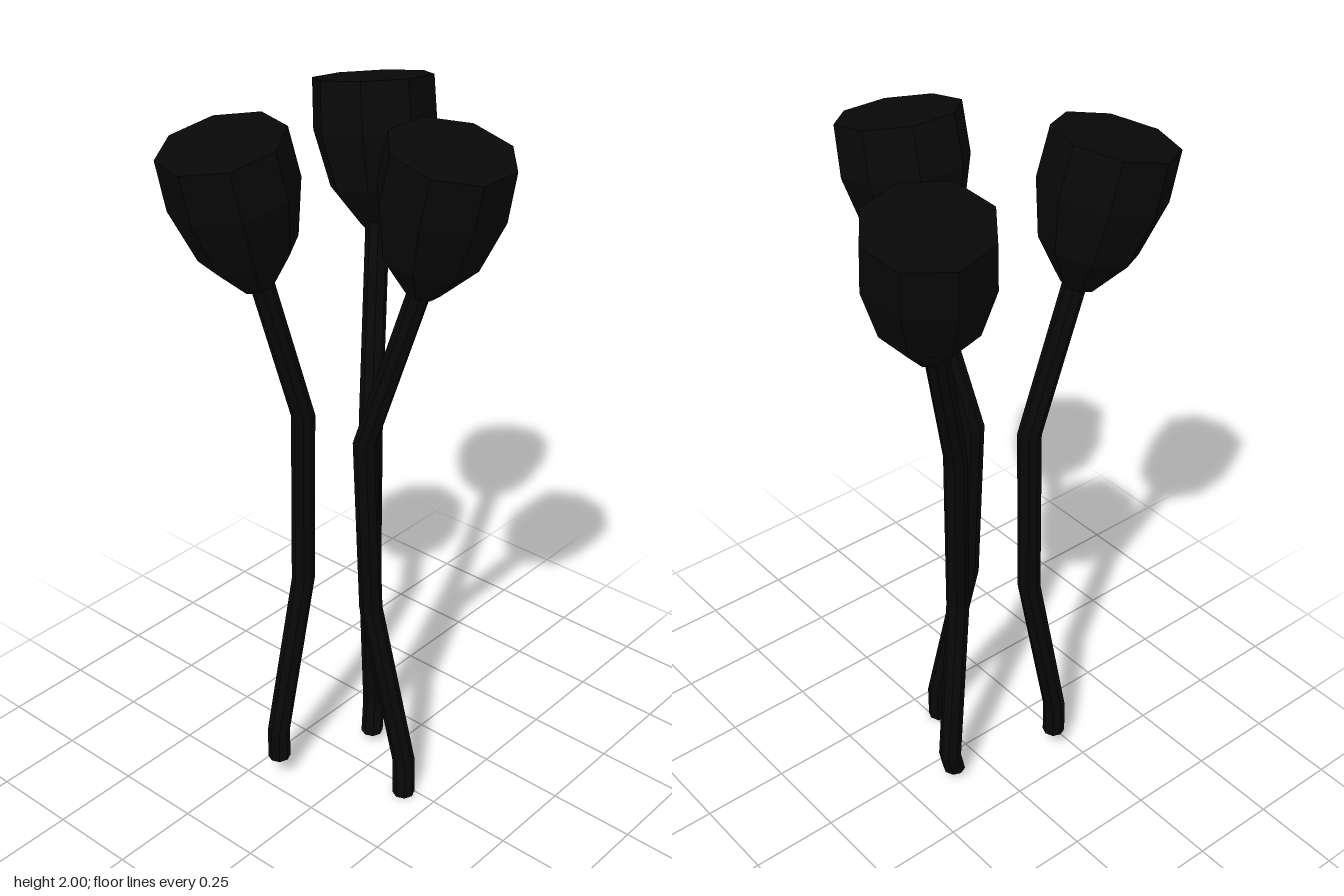
import * as THREE from 'three';

const material = new THREE.MeshStandardMaterial({ color: 0x080808, flatShading: true });
const SIDES = 8;
const TILT = 0.22;

// Stem: an eight-sided cylinder whose rings are moved onto the path points
function makeStem(path) {
  const rows = path.length - 1;
  const geometry = new THREE.CylinderGeometry(0.032, 0.032, 1, SIDES, rows);
  const pos = geometry.attributes.position;
  for (let i = 0; i < pos.count; i++) {
    const [x, y, z] = path[Math.round((pos.getY(i) + 0.5) * rows)];
    pos.setXYZ(i, pos.getX(i) + x, y, pos.getZ(i) + z);
  }
  geometry.computeVertexNormals();
  const stem = new THREE.Mesh(geometry, material);
  stem.name = 'stem';
  return stem;
}

// Cup-shaped head with a flat top, one facet turned towards its lean
const headProfile = [[0, 0], [0.046, 0], [0.127, 0.105], [0.166, 0.255], [0.162, 0.39], [0, 0.39]]
  .map(([r, h]) => new THREE.Vector2(r, h));
const headGeometry = new THREE.LatheGeometry(headProfile, SIDES, Math.PI / SIDES);

function makeHead(base, lean) {
  const head = new THREE.Mesh(headGeometry, material);
  head.name = 'flowerHead';
  head.position.set(...base);
  head.rotation.order = 'YXZ';
  head.rotation.set(TILT, Math.atan2(lean[0], lean[1]), 0);
  return head;
}

// Each flower: stem path from the ground up, head base, and lean direction (x, z)
const flowers = [
  {
    name: 'rightFlower',
    path: [[-0.2, 0.07, -0.17], [-0.2, 0.17, -0.168], [-0.11, 0.66, -0.143],
      [-0.1, 1.17, -0.14], [-0.222, 1.61, -0.165]],
    base: [-0.228, 1.582, -0.164], lean: [-0.96, -0.28],
  },
  {
    name: 'leftFlower',
    path: [[0.105, 0.03, -0.075], [0.135, 0.12, -0.094], [0.075, 0.63, -0.058],
      [0.087, 1.14, -0.065], [0.24, 1.61, -0.175]],
    base: [0.26, 1.582, -0.187], lean: [0.61, -0.79],
  },
  {
    name: 'frontFlower',
    path: [[-0.022, 0, 0.155], [-0.014, 0.11, 0.147], [-0.05, 0.62, 0.053],
      [-0.05, 1.13, 0.032], [0.018, 1.61, 0.165]],
    base: [0.008, 1.582, 0.168], lean: [-0.03, 1],
  },
];

export function createModel() {
  const model = new THREE.Group();
  model.name = 'flowers';
  for (const { name, path, base, lean } of flowers) {
    const flower = new THREE.Group();
    flower.name = name;
    flower.add(makeStem(path), makeHead(base, lean));
    model.add(flower);
  }
  return model;
}
